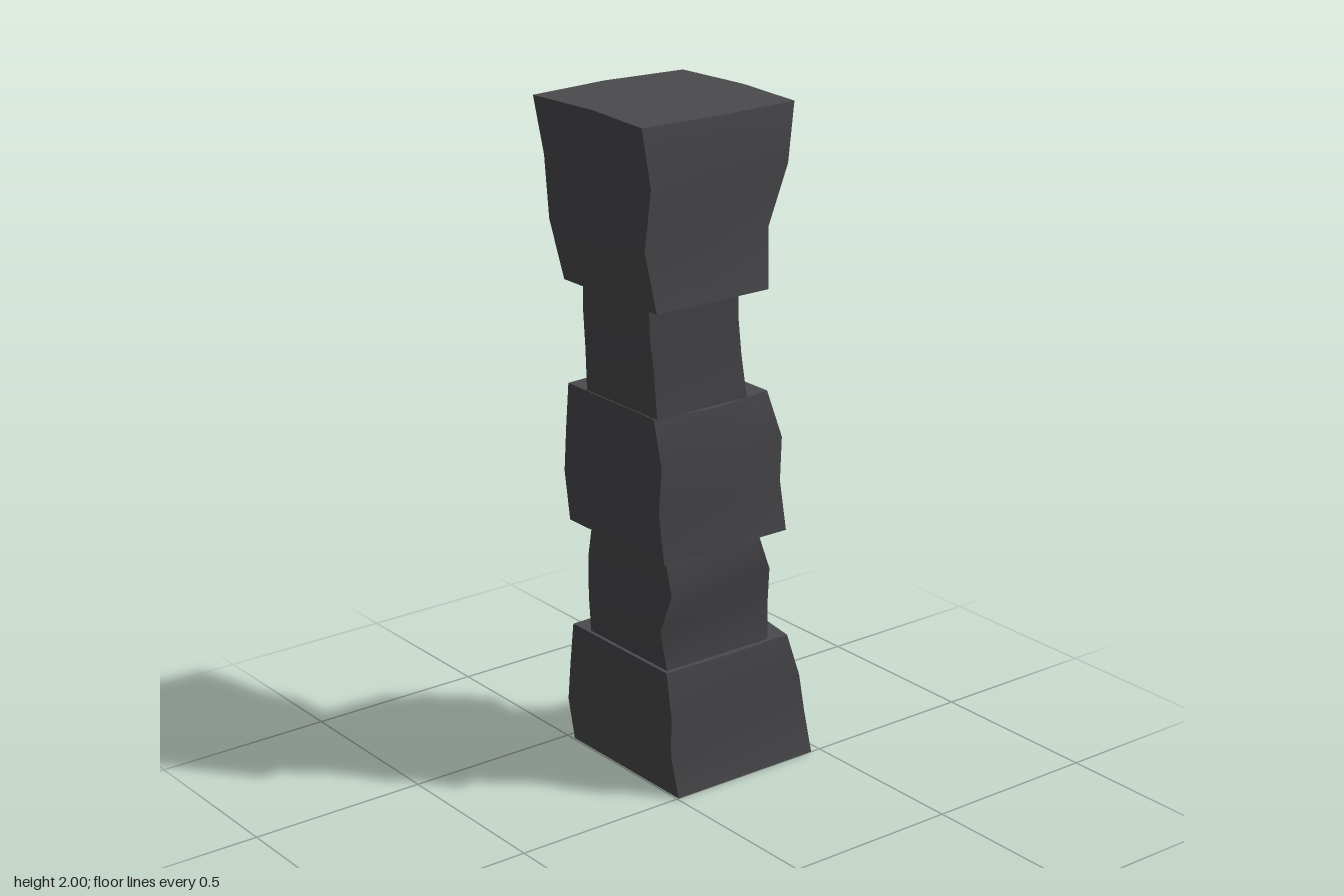
import * as THREE from 'three';
import { toCreasedNormals } from 'three/addons/utils/BufferGeometryUtils.js';

const stone = new THREE.MeshStandardMaterial({ color: 0x4a4a4d });
stone.name = 'dark stone';

// Four corners and four side middles, counter-clockwise from above.
function ringPoints([y, xL, xR, zB, zF, bowL, bowR, bowB, bowF]) {
  const xm = (xL + xR) / 2, zm = (zB + zF) / 2;
  return [
    [xL, y, zF], [xm, y, zF + bowF], [xR, y, zF], [xR + bowR, y, zm],
    [xR, y, zB], [xm, y, zB - bowB], [xL, y, zB], [xL - bowL, y, zm],
  ];
}

// Lofts a closed block through its rings, listed bottom to top.
function block(name, rings) {
  const pts = rings.flatMap(ringPoints);
  const index = [];
  const last = rings.length - 1;
  for (let r = 0; r < last; r++) {
    for (let i = 0; i < 8; i++) {
      const a = r * 8 + i, b = r * 8 + (i + 1) % 8;
      index.push(a, b, b + 8, a, b + 8, a + 8);
    }
  }
  // End caps fan out from the centre of the first and last ring
  for (const r of [0, last]) {
    const [y, xL, xR, zB, zF] = rings[r];
    const c = pts.push([(xL + xR) / 2, y, (zB + zF) / 2]) - 1;
    for (let i = 0; i < 8; i++) {
      const a = r * 8 + i, b = r * 8 + (i + 1) % 8;
      if (r) index.push(c, a, b);
      else index.push(c, b, a);
    }
  }
  const geo = new THREE.BufferGeometry();
  geo.setAttribute('position', new THREE.Float32BufferAttribute(pts.flat(), 3));
  geo.setIndex(index);
  const mesh = new THREE.Mesh(toCreasedNormals(geo, 0.6), stone);
  mesh.name = name;
  return mesh;
}

export function createModel() {
  const pillar = new THREE.Group();
  pillar.name = 'leaningPillar';
  // Each ring: y, left x, right x, back z, front z, then outward bow of left, right, back, front
  pillar.add(
    block('baseBlock', [
      [0.00, 0.005, 0.47, -0.473, 0.00, 0, 0.005, 0.025, 0],
      [0.14, -0.03, 0.432, -0.452, 0.012, 0, 0.01, 0.015, 0],
      [0.28, -0.062, 0.375, -0.395, 0.055, 0, 0.025, 0.005, 0],
      [0.42, -0.092, 0.315, -0.338, 0.073, 0, 0.035, 0.005, 0.005],
    ]),
    block('lowerNeck', [
      [0.42, -0.082, 0.256, -0.27, 0.062, 0, 0, 0, 0],
      [0.55, -0.125, 0.232, -0.22, 0.09, 0, 0.005, 0, 0],
      [0.67, -0.136, 0.185, -0.205, 0.152, 0, 0.008, 0.01, 0],
      [0.79, -0.17, 0.13, -0.14, 0.17, 0, 0, 0.005, 0],
    ]),
    block('middleBlock', [
      [0.79, -0.198, 0.197, -0.198, 0.202, 0, 0.005, 0.022, 0],
      [0.94, -0.23, 0.158, -0.175, 0.222, 0, 0.024, 0.008, 0.02],
      [1.08, -0.258, 0.122, -0.126, 0.27, 0, 0.012, 0.012, 0.008],
      [1.215, -0.286, 0.068, -0.075, 0.275, 0, 0, 0.013, 0.025],
    ]),
    block('upperNeck', [
      [1.215, -0.283, -0.005, 0.0, 0.285, 0, 0.005, 0.035, 0],
      [1.34, -0.312, -0.045, 0.035, 0.312, 0, 0.028, 0.02, 0],
      [1.45, -0.35, -0.082, 0.08, 0.345, 0, 0.028, 0.015, 0],
      [1.53, -0.368, -0.1, 0.105, 0.366, 0, 0.018, 0.005, 0],
    ]),
    block('topBlock', [
      [1.53, -0.38, -0.045, 0.045, 0.412, 0, 0.025, 0.015, 0],
      [1.69, -0.425, -0.058, 0.05, 0.425, 0, 0.015, 0.028, 0.005],
      [1.85, -0.442, -0.04, 0.057, 0.472, 0, 0.01, 0.015, 0.008],
      [2.00, -0.478, -0.035, 0.067, 0.486, -0.018, 0.017, 0.02, 0.01],
    ]),
  );
  return pillar;
}
